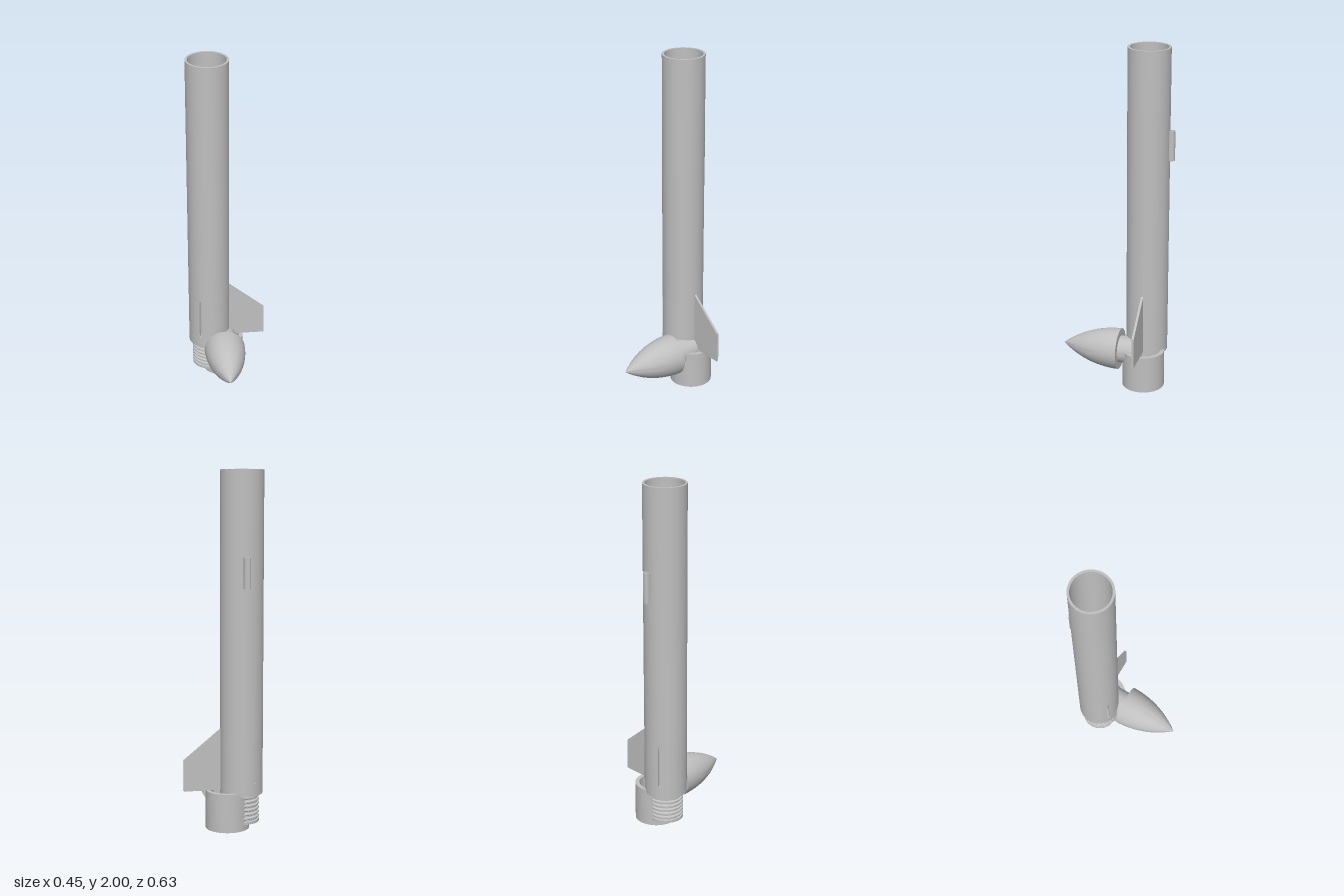
import * as THREE from 'three';
import { toCreasedNormals } from 'three/addons/utils/BufferGeometryUtils.js';

export function createModel() {
  const model = new THREE.Group();
  const grey = new THREE.MeshStandardMaterial({ color: 0xbfbfbf });
  grey.name = 'plain grey';
  grey.side = THREE.DoubleSide;

  const BODY = [-0.105, -0.168]; // x, z of the body axis
  const R = 0.12, INNER = 0.107, SEGMENTS = 64;

  const add = (name, geometry, parent, x = 0, y = 0, z = 0) => {
    const mesh = new THREE.Mesh(geometry, grey);
    mesh.name = name;
    mesh.position.set(x, y, z);
    parent.add(mesh);
    return mesh;
  };
  const lathe = (profile) => toCreasedNormals(
    new THREE.LatheGeometry(profile.map(([r, y]) => new THREE.Vector2(r, y)), SEGMENTS), 0.6);

  // Upright wall following an arc, from y0 to y1
  const arcWall = (outer, inner, a0, a1, y0, y1) => {
    const shape = new THREE.Shape();
    shape.absarc(0, 0, outer, a0, a1, false);
    shape.absarc(0, 0, inner, a1, a0, true);
    const g = new THREE.ExtrudeGeometry(shape, { depth: y1 - y0, bevelEnabled: false, curveSegments: 32 });
    g.rotateX(-Math.PI / 2);
    g.translate(0, y0, 0);
    return toCreasedNormals(g, 0.6);
  };
  const tube = (outer, inner, y0, y1) =>
    lathe([[inner, y0], [outer, y0], [outer, y1], [inner, y1], [inner, y0]]);

  // Body tube with three fin slots
  const body = new THREE.Group();
  body.name = 'bodyTube';
  body.position.set(BODY[0], 0, BODY[1]);
  model.add(body);
  const slotBottom = 0.27, slotTop = 0.52, halfSlot = 0.054, third = Math.PI * 2 / 3;
  add('lowerTube', tube(R, INNER, 0.2, slotBottom), body);
  add('upperTube', tube(R, INNER, slotTop, 2), body);
  for (let i = 0; i < 3; i++) {
    add('slottedWall', arcWall(R, INNER, i * third + halfSlot, (i + 1) * third - halfSlot,
      slotBottom, slotTop), body);
  }

  // Motor mount inside the body, with centring rings
  add('motorTube', tube(0.066, 0.063, 0.05, 0.8), body);
  for (const y of [0.22, 0.74]) add('centringRing', tube(0.106, 0.066, y, y + 0.03), body);
  add('motorStop', lathe([[0, 0.06], [0.063, 0.06], [0.063, 0.09], [0.042, 0.09], [0.042, 0.08], [0, 0.08]]), body);

  // Threaded neck below the body
  const neck = [[0, 0.035], [0.1, 0.035], [0.1, 0.05]];
  const ridges = 6, pitch = 0.024;
  for (let i = 0; i < ridges; i++) {
    const y = 0.052 + i * pitch;
    neck.push([0.09, y], [0.09, y + 0.007], [0.1, y + 0.012], [0.1, y + 0.019]);
  }
  neck.push([0.092, 0.2], [0.092, 0.22], [0.066, 0.22]);
  add('threadedNeck', lathe(neck), body);

  // Launch lug on the back
  add('launchLug', tube(0.02, 0.014, 1.365, 1.535), body, 0, 0, -0.131);

  // Fin with a tab passing through the wall
  const finShape = new THREE.Shape([
    [0.015, 0.57], [0.015, slotTop], [-0.039, slotTop], [-0.039, slotBottom], [0.015, slotBottom],
    [0.015, 0.22], [0.223, 0.22], [0.223, 0.4],
  ].map(([x, y]) => new THREE.Vector2(x, y)));
  add('fin', new THREE.ExtrudeGeometry(finShape, { depth: 0.013, bevelEnabled: false }), model, 0, 0, -0.1745);

  // Screw cap, open at the top
  add('screwCap', lathe([[0, 0], [0.122, 0], [0.122, 0.22], [0.098, 0.22], [0.098, 0.02], [0, 0.02]]),
    model, -0.025, 0, -0.168);

  // Nose cone lying forward: shoulder, base and pointed ogive
  const L = 0.344, rho = (R * R + L * L) / (2 * R);
  const nose = [[0, -0.135], [0.079, -0.135], [0.079, 0]];
  for (let i = 0; i <= 24; i++) {
    const y = L * i / 24;
    nose.push([Math.max(0, Math.sqrt(rho * rho - y * y) - (rho - R)), y]);
  }
  add('noseCone', lathe(nose), model, -0.025, 0.205, -0.028).rotation.x = Math.PI / 2;

  return model;
}
